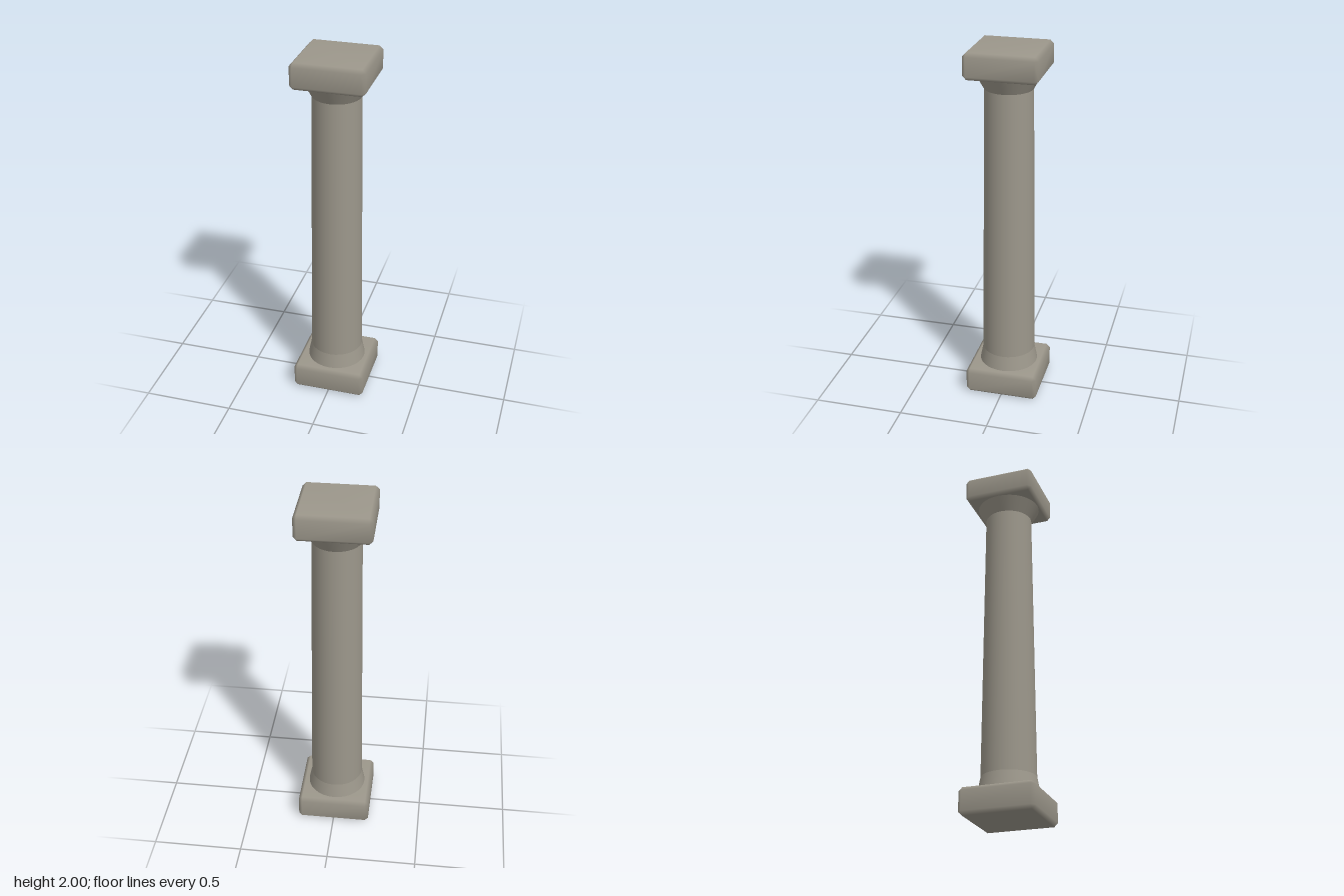
import * as THREE from 'three';
import { ConvexGeometry } from 'three/addons/geometries/ConvexGeometry.js';
import { mergeVertices } from 'three/addons/utils/BufferGeometryUtils.js';

const stone = new THREE.MeshStandardMaterial({ color: 0x9c978b });
stone.name = 'stone';

// Square block with every edge chamfered and softly shaded
function chamferedBlock(name, half, y0, y1, bevel) {
  const h = (y1 - y0) / 2, points = [];
  for (const sx of [-1, 1]) for (const sy of [-1, 1]) for (const sz of [-1, 1]) {
    for (let axis = 0; axis < 3; axis++) {
      const inset = [bevel, bevel, bevel];
      inset[axis] = 0;
      points.push(new THREE.Vector3(
        sx * (half - inset[0]), sy * (h - inset[1]), sz * (half - inset[2])));
    }
  }
  let geometry = new ConvexGeometry(points);
  geometry.deleteAttribute('normal');
  geometry = mergeVertices(geometry, 1e-4);
  geometry.computeVertexNormals();
  const mesh = new THREE.Mesh(geometry, stone);
  mesh.name = name;
  mesh.position.y = (y0 + y1) / 2;
  return mesh;
}

// Round section tapering from the bottom radius to the top radius
function roundSection(name, r0, y0, r1, y1) {
  const geometry = new THREE.CylinderGeometry(r1, r0, y1 - y0, 32, 1, true);
  const mesh = new THREE.Mesh(geometry, stone);
  mesh.name = name;
  mesh.position.y = (y0 + y1) / 2;
  return mesh;
}

export function createModel() {
  const column = new THREE.Group();
  column.name = 'column';
  column.add(
    chamferedBlock('basePlinth', 0.205, 0, 0.147, 0.02),
    roundSection('baseFlare', 0.166, 0.14, 0.148, 0.23),
    roundSection('shaft', 0.148, 0.23, 0.131, 1.78),
    roundSection('capitalFlare', 0.131, 1.78, 0.178, 1.862),
    chamferedBlock('capitalBlock', 0.198, 1.858, 2, 0.02),
  );
  return column;
}
